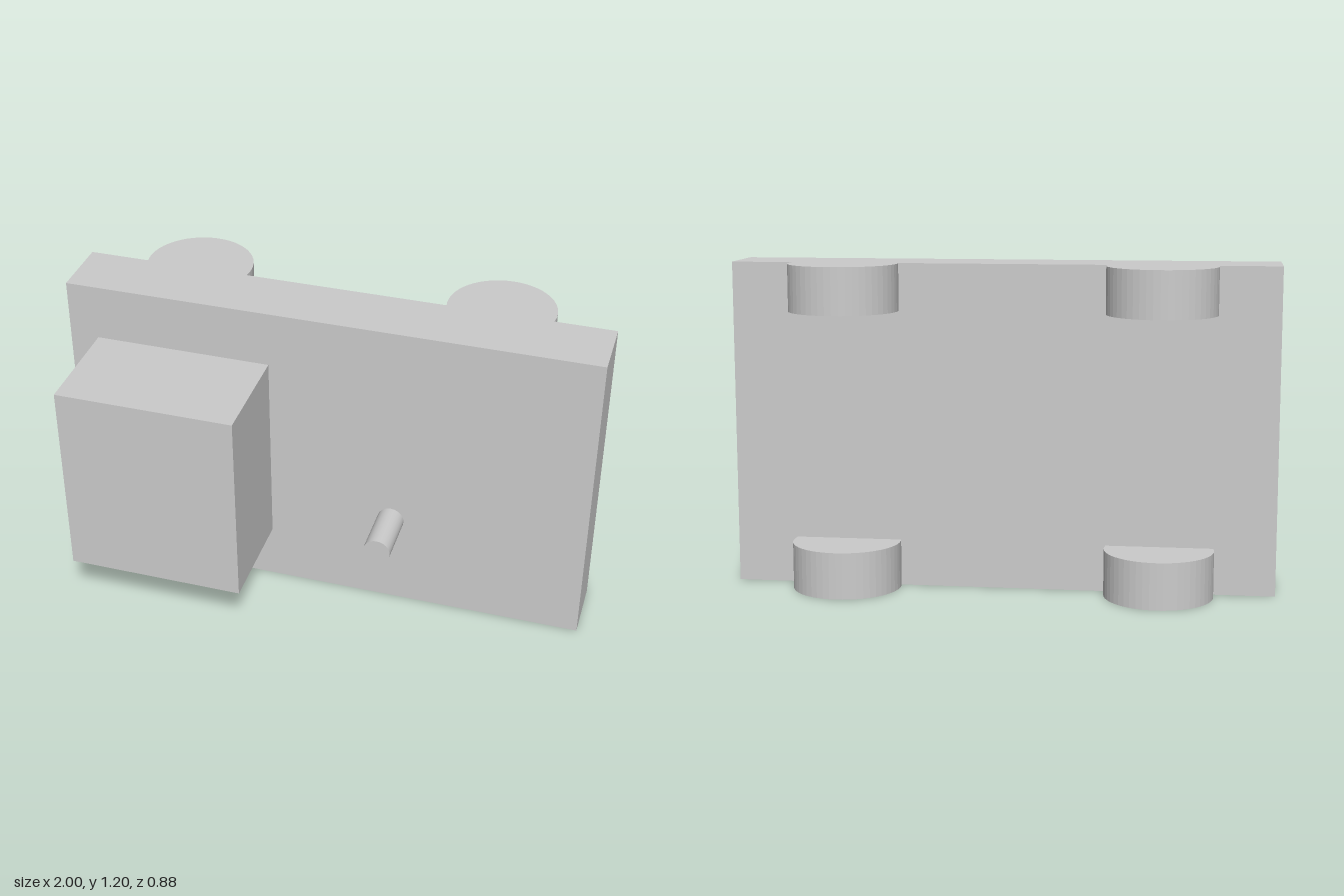
import * as THREE from 'three';

const material = new THREE.MeshStandardMaterial({ color: 0xcccccc, flatShading: true });
const smooth = new THREE.MeshStandardMaterial({ color: 0xcccccc });

const BACK = -0.205, FRONT = 0.04; // faces of the main slab

function addMesh(group, name, geometry, x, y, z, mat = material) {
  const mesh = new THREE.Mesh(geometry, mat);
  mesh.name = name;
  mesh.position.set(x, y, z);
  group.add(mesh);
  return mesh;
}

// Box given by its minimum and maximum corners
function addBox(group, name, [x0, y0, z0], [x1, y1, z1]) {
  const geometry = new THREE.BoxGeometry(x1 - x0, y1 - y0, z1 - z0);
  addMesh(group, name, geometry, (x0 + x1) / 2, (y0 + y1) / 2, (z0 + z1) / 2);
}

// Part of a disc that stands out behind the slab, cut off at its back face
function wheelGeometry(radius, centreZ, width) {
  const overlap = Math.asin((BACK - centreZ) / radius);
  const shape = new THREE.Shape();
  shape.absarc(0, -centreZ, radius, -overlap, Math.PI + overlap, false);
  shape.closePath();
  const geometry = new THREE.ExtrudeGeometry(shape, { depth: width, bevelEnabled: false, curveSegments: 14 });
  return geometry.rotateX(-Math.PI / 2);
}

export function createModel() {
  const group = new THREE.Group();
  group.name = 'wheeledBody';

  addBox(group, 'body', [-1, 0, BACK], [1, 1.2, FRONT]);
  addBox(group, 'cabin', [-0.89, 0.22, FRONT], [-0.22, 0.985, 0.443]);

  // Round post on the front face
  const post = new THREE.CylinderGeometry(0.051, 0.051, 0.205, 24).rotateX(Math.PI / 2);
  addMesh(group, 'post', post, 0.255, 0.375, FRONT + 0.1025, smooth);

  // Four wheels, flush with the lower and upper edges
  const wheel = wheelGeometry(0.2, -0.242, 0.172);
  for (const x of [-0.577, 0.577]) {
    for (const y of [0, 1.2 - 0.172]) {
      addMesh(group, (y ? 'upper' : 'lower') + (x > 0 ? 'Left' : 'Right') + 'Wheel', wheel, x, y, 0);
    }
  }
  return group;
}
